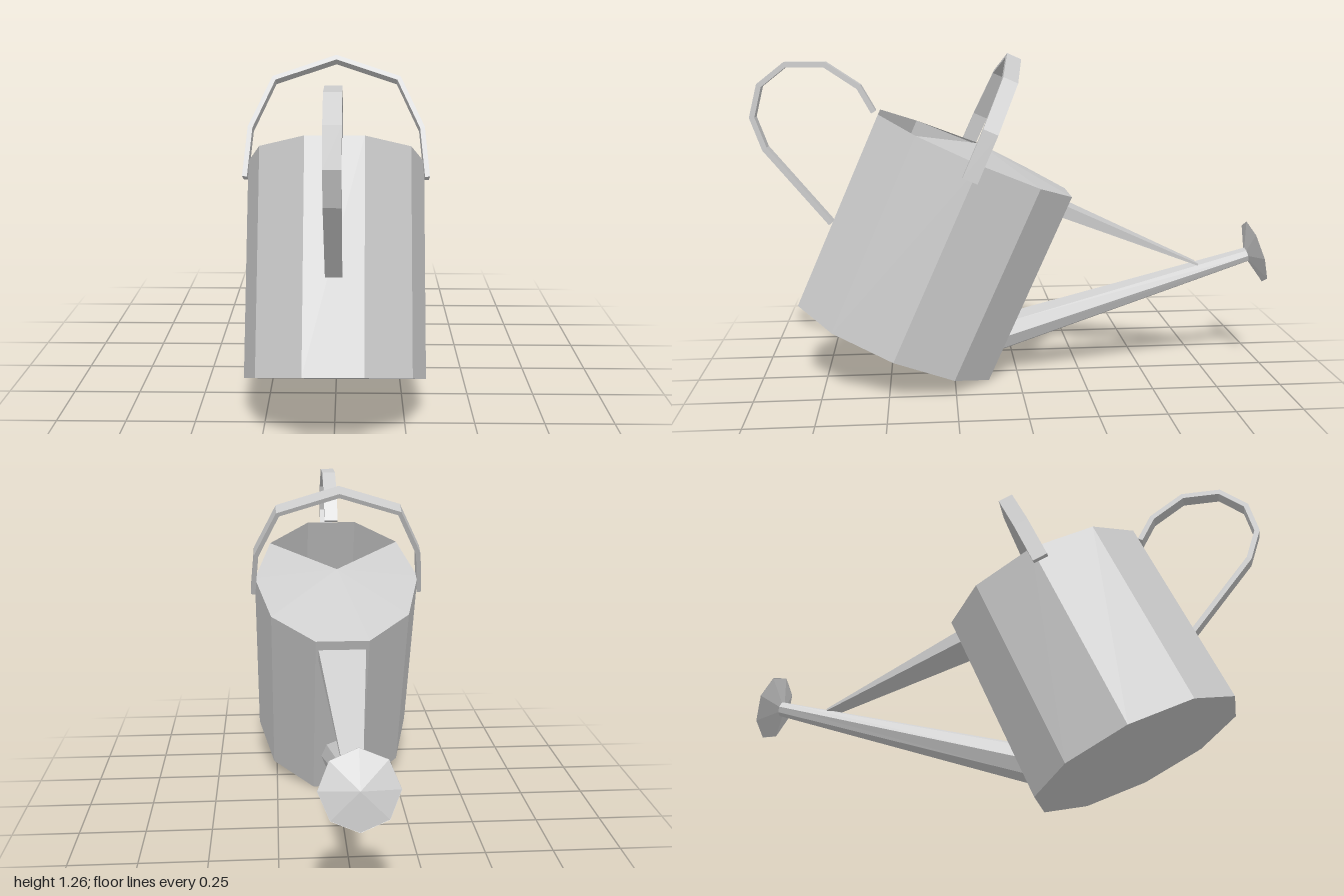
import * as THREE from 'three';

const R = 0.324, H = 0.79, DEPTH = 1.285, TILT = THREE.MathUtils.degToRad(23.9);
const material = new THREE.MeshStandardMaterial({ color: 0xcccccc, flatShading: true });
const sheet = new THREE.MeshStandardMaterial({ color: 0xcccccc, flatShading: true, side: THREE.DoubleSide });

function part(parent, name, geometry, mat = material) {
  const mesh = new THREE.Mesh(geometry, mat);
  mesh.name = name;
  parent.add(mesh);
  return mesh;
}

// Flat metal strip: a polyline thickened to its right and extruded to a width
function strip(coords, thickness, width) {
  const pts = coords.map(([x, y]) => new THREE.Vector2(x, y));
  const inner = pts.map((p, i) => {
    const a = pts[Math.max(i - 1, 0)], b = pts[Math.min(i + 1, pts.length - 1)];
    const d = b.clone().sub(a).normalize();
    return new THREE.Vector2(p.x + d.y * thickness, p.y - d.x * thickness);
  });
  const shape = new THREE.Shape([...pts, ...inner.reverse()]);
  return new THREE.ExtrudeGeometry(shape, { depth: width, bevelEnabled: false }).translate(0, 0, -width / 2);
}

export function createModel() {
  const model = new THREE.Group();
  model.name = 'wateringCan';

  // Everything aligned with the tilted can lives in this group
  const can = new THREE.Group();
  can.name = 'can';
  can.position.set(0, 0.17, 0.48);
  can.rotation.x = -TILT;
  model.add(can);

  // Oval ten-sided tank with floor
  part(can, 'tankWall', new THREE.CylinderGeometry(R, R, H, 10, 1, true, Math.PI / 10)
    .scale(1, 1, DEPTH).translate(0, H / 2, 0), sheet);
  part(can, 'tankFloor', new THREE.CircleGeometry(R, 10).rotateX(Math.PI / 2).scale(1, 1, DEPTH), sheet);

  // Shallow conical lid, open over the three rear wedges
  part(can, 'lid', new THREE.ConeGeometry(R, 0.04, 7, 1, true, Math.PI * 0.3, Math.PI * 1.4)
    .scale(1, 1, DEPTH).translate(0, H + 0.02, 0), sheet);

  // Carrying handle arched over the top
  const half = [[-0.342, 0.726], [-0.325, 0.912], [-0.237, 1.104]];
  const arch = [...half, [0, 1.186], ...half.map(([x, y]) => [-x, y]).reverse()];
  part(can, 'topHandle', strip(arch, 0.018, 0.058)).position.z = 0.011;

  // Rear pouring handle
  const loop = [[0.533, 1.059], [0.587, 1.155], [0.716, 1.241], [0.866, 1.241],
    [0.968, 1.161], [1.0, 1.037], [0.957, 0.914], [0.721, 0.625]];
  part(model, 'rearHandle', strip(loop, 0.02, 0.056).rotateY(-Math.PI / 2));

  // Spout assembly: its own y axis runs from the tank to the rose
  const spout = new THREE.Group();
  spout.name = 'spoutAssembly';
  const lean = THREE.MathUtils.degToRad(49.3);
  spout.position.set(0, 0.18, -0.393);
  spout.rotation.x = -lean;
  can.add(spout);

  // Tapered pipe whose lower end is cut flush with the tank face
  const length = 1.02;
  const pipe = new THREE.CylinderGeometry(0.029, 0.07, length, 8, 1, true).translate(0, length / 2, 0);
  const pos = pipe.attributes.position;
  for (let i = 0; i < pos.count; i++) {
    if (pos.getY(i) < 0.01) pos.setY(i, pos.getZ(i) / Math.tan(lean));
  }
  pipe.computeVertexNormals();
  part(spout, 'spout', pipe, sheet);

  // Rose: flared back and shallow pointed face
  part(spout, 'roseBack', new THREE.CylinderGeometry(0.13, 0.029, 0.035, 8, 1, true).translate(0, 1.033, 0), sheet);
  part(spout, 'roseFace', new THREE.ConeGeometry(0.13, 0.03, 8, 1, true).translate(0, 1.065, 0), sheet);

  // Tapered brace from the tank's front rim down to the spout
  const brace = new THREE.BoxGeometry(2, 1, 1);
  const b = brace.attributes.position;
  for (let i = 0; i < b.count; i++) {
    const root = b.getZ(i) > 0, top = b.getY(i) > 0, side = Math.sign(b.getX(i));
    if (root) b.setXYZ(i, side * 0.09, top ? 0.7 : 0.655, top ? -0.172 : -0.155);
    else b.setXYZ(i, side * 0.032, top ? 0.442 : 0.434, -0.72);
  }
  brace.computeVertexNormals();
  part(model, 'brace', brace);

  return model;
}
